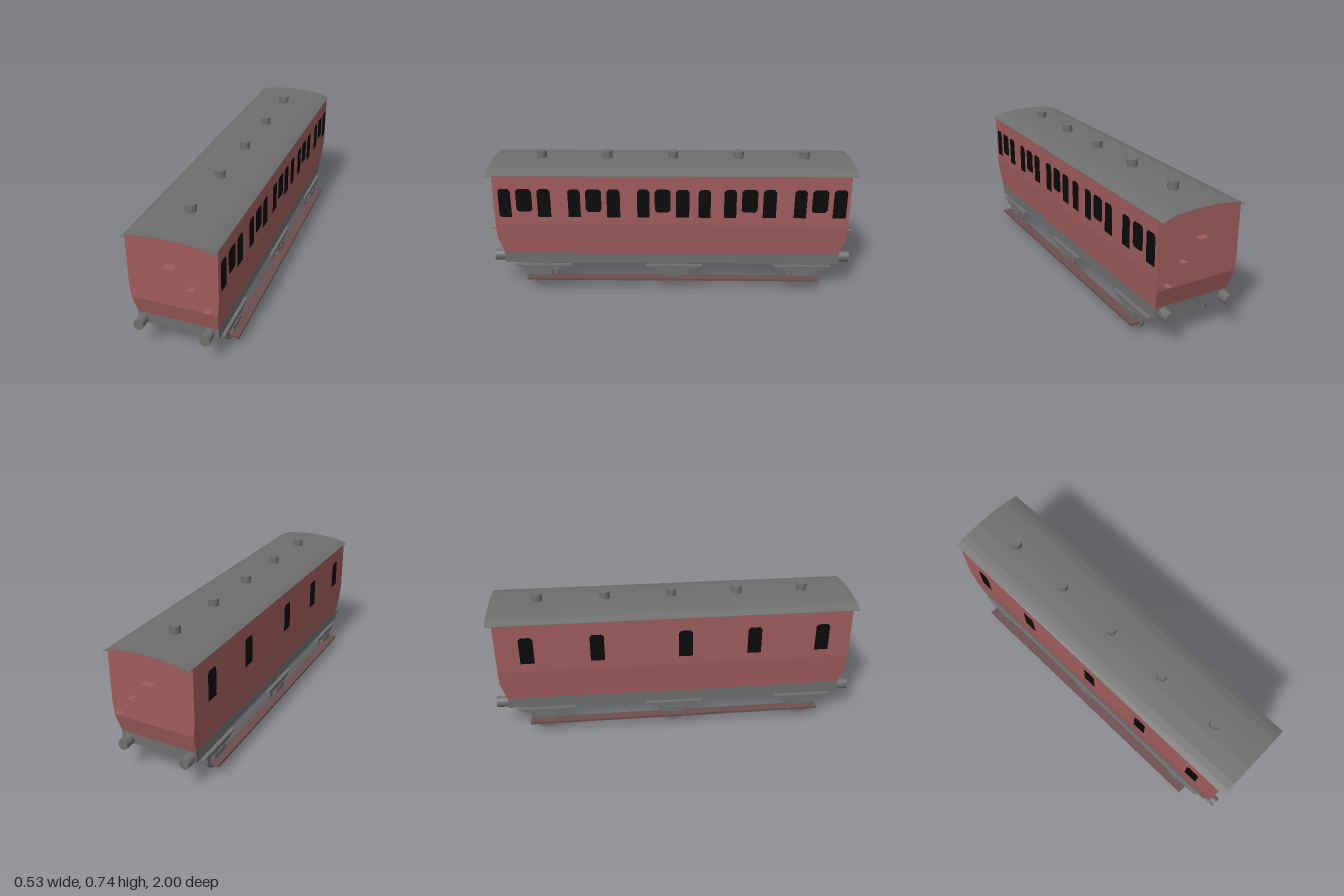
import * as THREE from 'three';

const material = (name, color, extra = {}) => Object.assign(new THREE.MeshStandardMaterial({ color, ...extra }), { name });

export function createModel() {
  const red = material('carriage red', 0xa05c5c);
  const redThin = red.clone();
  redThin.side = THREE.DoubleSide;
  const grey = material('grey', 0x6e6e6e);
  const brown = material('footboard brown', 0x6b4e4e);
  const black = material('window black', 0x0a0a0a);

  const model = new THREE.Group();
  model.name = 'carriage';
  const add = (name, geometry, mat, x = 0, y = 0, z = 0) => {
    const mesh = new THREE.Mesh(geometry, mat);
    mesh.name = name;
    mesh.position.set(x, y, z);
    model.add(mesh);
    return mesh;
  };
  const box = (name, mat, x0, x1, y0, y1, z0, z1) =>
    add(name, new THREE.BoxGeometry(x1 - x0, y1 - y0, z1 - z0), mat, (x0 + x1) / 2, (y0 + y1) / 2, (z0 + z1) / 2);
  // Extrudes an outline of [x, y] points, centred along z
  const prism = (points, depth) => {
    const shape = new THREE.Shape(points.map(p => new THREE.Vector2(...p)));
    return new THREE.ExtrudeGeometry(shape, { depth, bevelEnabled: false }).translate(0, 0, -depth / 2);
  };

  // Roof arc, from the right eave to the left eave
  const half = [[0.229, 0.666], [0.195, 0.681], [0.153, 0.691], [0.053, 0.7]];
  const arc = [...half, ...half.map(([x, y]) => [-x, y]).reverse()];
  const lowered = arc.map(([x, y]) => [x, y - 0.003]);

  // Body: upper part with tumblehome sides, lower part tapering inwards
  add('upperBody', prism([[-0.229, 0.385], [-0.222, 0.31], [0.222, 0.31], [0.229, 0.385], ...lowered], 1.93), red);
  const lower = new THREE.BoxGeometry(0.444, 0.105, 1.93);
  const pos = lower.attributes.position;
  for (let i = 0; i < pos.count; i++) {
    if (pos.getY(i) < 0) {
      pos.setX(i, Math.sign(pos.getX(i)) * 0.212);
      pos.setZ(i, Math.sign(pos.getZ(i)) * 0.935);
    }
  }
  lower.computeVertexNormals();
  add('lowerBody', lower, red, 0, 0.2575, 0);
  add('roof', prism([...arc, ...lowered.slice().reverse()], 2), grey);
  box('underframe', grey, -0.212, 0.212, 0.145, 0.205, -0.935, 0.935);

  // Roof vents
  for (let i = 0; i < 5; i++) {
    add('roofVent', new THREE.CylinderGeometry(0.028, 0.028, 0.05, 20), grey, 0, 0.715, 0.73 - i * 0.368);
  }

  // Windows with clipped corners
  const windowPane = (side, z, width, y0, clipBottom) => {
    const w = width / 2, y1 = 0.592, c = 0.013, b = clipBottom ? c : 0;
    const points = [[-w, y0 + b], [-w + b, y0], [w - b, y0], [w, y0 + b], [w, y1 - c], [w - c, y1], [c - w, y1], [-w, y1 - c]];
    const shape = new THREE.Shape(points.map(p => new THREE.Vector2(...p)));
    add('window', new THREE.ShapeGeometry(shape), black, side * 0.2305, 0, z).rotation.y = side * Math.PI / 2;
  };
  // Left side: each compartment has a short window between two tall ones
  for (const z of [0.799, 0.422, 0.047, -0.424, -0.803]) {
    windowPane(1, z + 0.105, 0.067, 0.43, false);
    windowPane(1, z, 0.086, 0.461, true);
    windowPane(1, z - 0.108, 0.072, 0.43, false);
  }
  windowPane(1, -0.18, 0.066, 0.43, false);
  // Right side: door windows only
  for (const z of [0.806, 0.43, 0.052, -0.425, -0.8]) windowPane(-1, z, 0.076, 0.435, false);

  // Ends: buffers and climbing steps
  for (const end of [1, -1]) {
    for (const x of [-0.182, 0.1645]) {
      const buffer = add('buffer', new THREE.CylinderGeometry(0.03, 0.03, 0.07, 24).rotateX(Math.PI / 2), grey, x, 0.17, end * 0.963);
      buffer.scale.x = 0.88;
    }
    for (const [x, y, w] of [[0, 0.545, 0.05], [0.1, 0.445, 0.028], [0.18, 0.34, 0.028]]) {
      add('endStep', new THREE.PlaneGeometry(w, 0.04).rotateX(-Math.PI / 2), redThin, x, y, end * 0.982);
    }
  }

  // Running gear: axles, wheels, axle boxes and springs
  for (const z of [0.727, -0.012, -0.73]) {
    add('axle', new THREE.CylinderGeometry(0.011, 0.011, 0.318, 16).rotateZ(Math.PI / 2), grey, 0, 0.076, z);
    for (const side of [1, -1]) {
      const wheel = add('wheel', new THREE.CylinderGeometry(0.076, 0.076, 0.014, 32).rotateZ(Math.PI / 2), grey, side * 0.195, 0.076, z);
      wheel.scale.z = 1.13;
      add('axleBox', new THREE.BoxGeometry(0.025, 0.044, 0.11), grey, side * 0.2145, 0.083, z);
      add('axleBoxCover', new THREE.BoxGeometry(0.004, 0.03, 0.027), grey, side * 0.228, 0.088, z);
      const spring = prism([[-0.085, 0.106], [0.085, 0.106], [0.16, 0.133], [-0.16, 0.133]], 0.025);
      add('spring', spring.rotateY(-Math.PI / 2), grey, side * 0.2115, 0, z);
    }
  }

  // Footboards along both sides
  box('leftFootboard', brown, 0.215, 0.267, 0.062, 0.074, -0.818, 0.808);
  box('rightFootboard', brown, -0.265, -0.213, 0.062, 0.074, -0.818, 0.808);

  // Slight offset of the whole carriage
  for (const part of model.children) part.position.x -= 0.002;
  return model;
}
